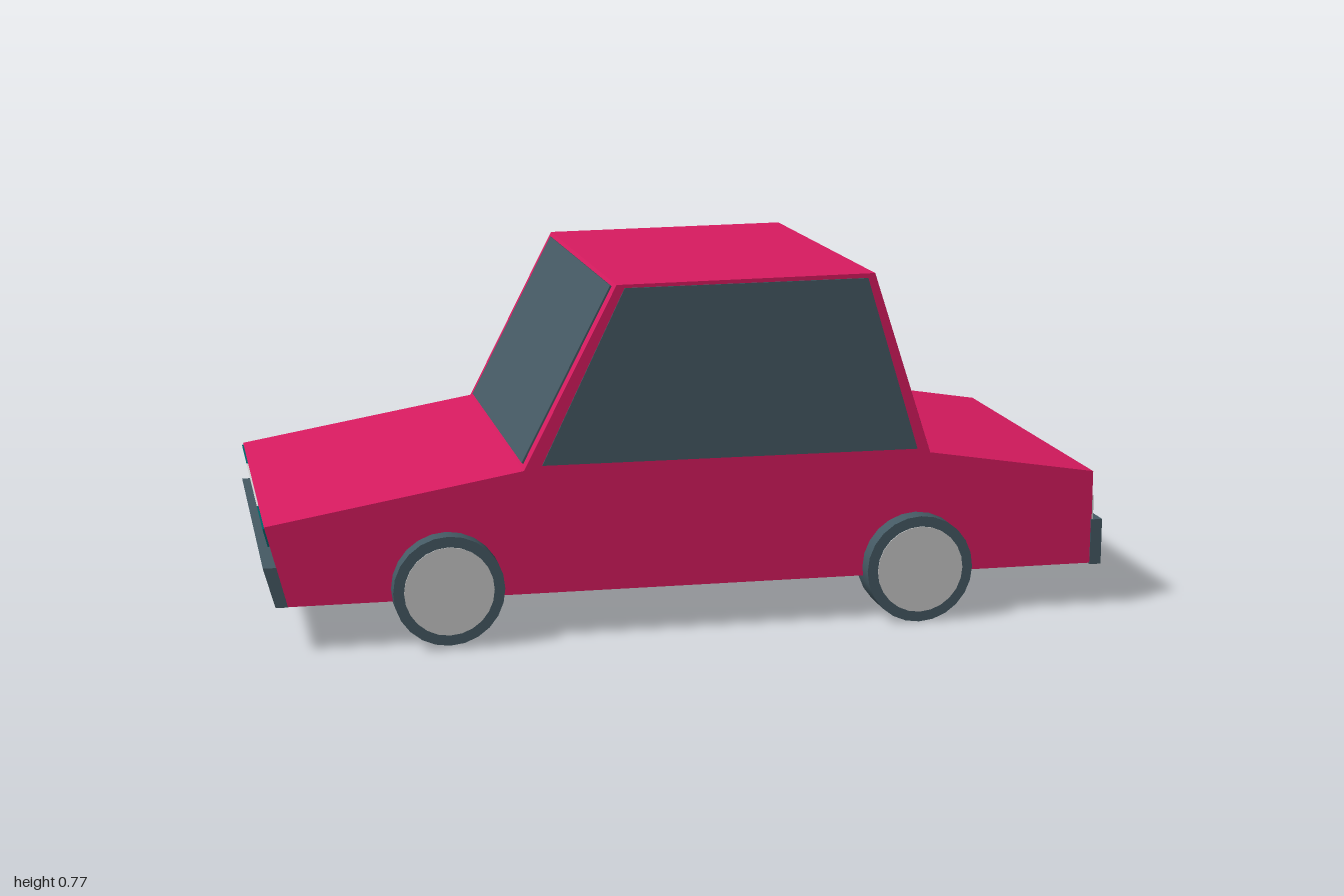
import * as THREE from 'three';

const HALF = 0.42; // half the body width

export function createModel() {
  const mat = (name, color) => {
    const m = new THREE.MeshStandardMaterial({ color });
    m.name = name;
    return m;
  };
  const red = mat('crimson paint', 0xd81b60);
  const slate = mat('slate glass and rubber', 0x455a64);
  const grey = mat('light grey', 0xc8c8c8);
  const teal = mat('dark teal', 0x006064);

  const car = new THREE.Group();
  car.name = 'car';

  const add = (name, geometry, material) => {
    const mesh = new THREE.Mesh(geometry, material);
    mesh.name = name;
    car.add(mesh);
    return mesh;
  };

  // side profile (x, y) swept across the car from z0 to z1
  const prism = (name, points, z0, z1, material) => {
    const shape = new THREE.Shape(points.map(([x, y]) => new THREE.Vector2(x, y)));
    const geo = new THREE.ExtrudeGeometry(shape, { depth: z1 - z0, bevelEnabled: false });
    return add(name, geo.translate(0, 0, z0), material);
  };

  // thin plate lying on a profile edge a-b between fractions s and t
  const plate = (name, a, b, s, t, z0, z1, material) => {
    const dx = b[0] - a[0], dy = b[1] - a[1];
    const k = 0.004 / Math.hypot(dx, dy);
    const at = (f, o) => [a[0] + dx * f - dy * k * o, a[1] + dy * f + dx * k * o];
    return prism(name, [at(s, -0.5), at(t, -0.5), at(t, 1), at(s, 1)], z0, z1, material);
  };

  // body: bonnet, cabin and boot in one profile, front towards -x
  const noseLow = [-0.88, 0.1], noseTop = [-0.925, 0.275];
  const screenLow = [-0.376, 0.37], screenTop = [-0.175, 0.762];
  const rearTop = [0.39, 0.77], rearLow = [0.522, 0.37];
  const tailTop = [0.901, 0.31], tailLow = [0.901, 0.1];
  prism('body',
    [noseLow, noseTop, screenLow, screenTop, rearTop, rearLow, tailTop, tailLow],
    -HALF, HALF, red);

  // windows
  plate('windscreen', screenLow, screenTop, 0.02, 0.98, -0.385, 0.385, slate);
  plate('rearWindow', rearTop, rearLow, 0.02, 0.99, -0.403, 0.403, slate);
  const sideGlass = [[-0.337, 0.38], [-0.158, 0.755], [0.374, 0.76], [0.492, 0.38]];
  for (const side of [-1, 1]) {
    const z = side * HALF;
    prism('sideWindow', sideGlass, z - 0.003, z + 0.003, slate);
  }

  // bumpers
  prism('frontBumper',
    [[-0.88, 0.1], [-0.906, 0.1], [-0.93, 0.187], [-0.902, 0.187]],
    -HALF - 0.002, HALF + 0.002, slate);
  const rear = new THREE.BoxGeometry(0.026, 0.103, 2 * HALF + 0.004).translate(0.912, 0.1485, 0);
  add('rearBumper', rear, [slate, slate, slate, teal, slate, slate]);

  // grille and lamps
  plate('grille', noseLow, noseTop, 0.5, 0.98, -0.21, 0.21, grey);
  for (const side of [-1, 1]) {
    const lo = side < 0 ? -0.418 : 0.21, hi = side < 0 ? -0.21 : 0.418;
    plate('headlight', noseLow, noseTop, 0.76, 0.98, lo, hi, teal);
    plate('tailLight', tailTop, tailLow, 0.27, 0.53, lo, hi, grey);
  }

  // wheels
  for (const [x, y] of [[-0.544, 0.127], [0.491, 0.119]]) {
    for (const side of [-1, 1]) {
      const tyre = new THREE.CylinderGeometry(0.119, 0.119, 0.085, 24).rotateX(Math.PI / 2);
      add('tyre', tyre, slate).position.set(x, y, side * 0.42);
      const hub = new THREE.CylinderGeometry(0.096, 0.096, 0.006, 24).rotateX(Math.PI / 2);
      add('hubcap', hub, grey).position.set(x, y, side * 0.462);
    }
  }

  // the car stands turned on the spot
  car.rotation.y = 0.214;
  const model = new THREE.Group();
  model.name = 'saloonCar';
  model.add(car);
  return model;
}
